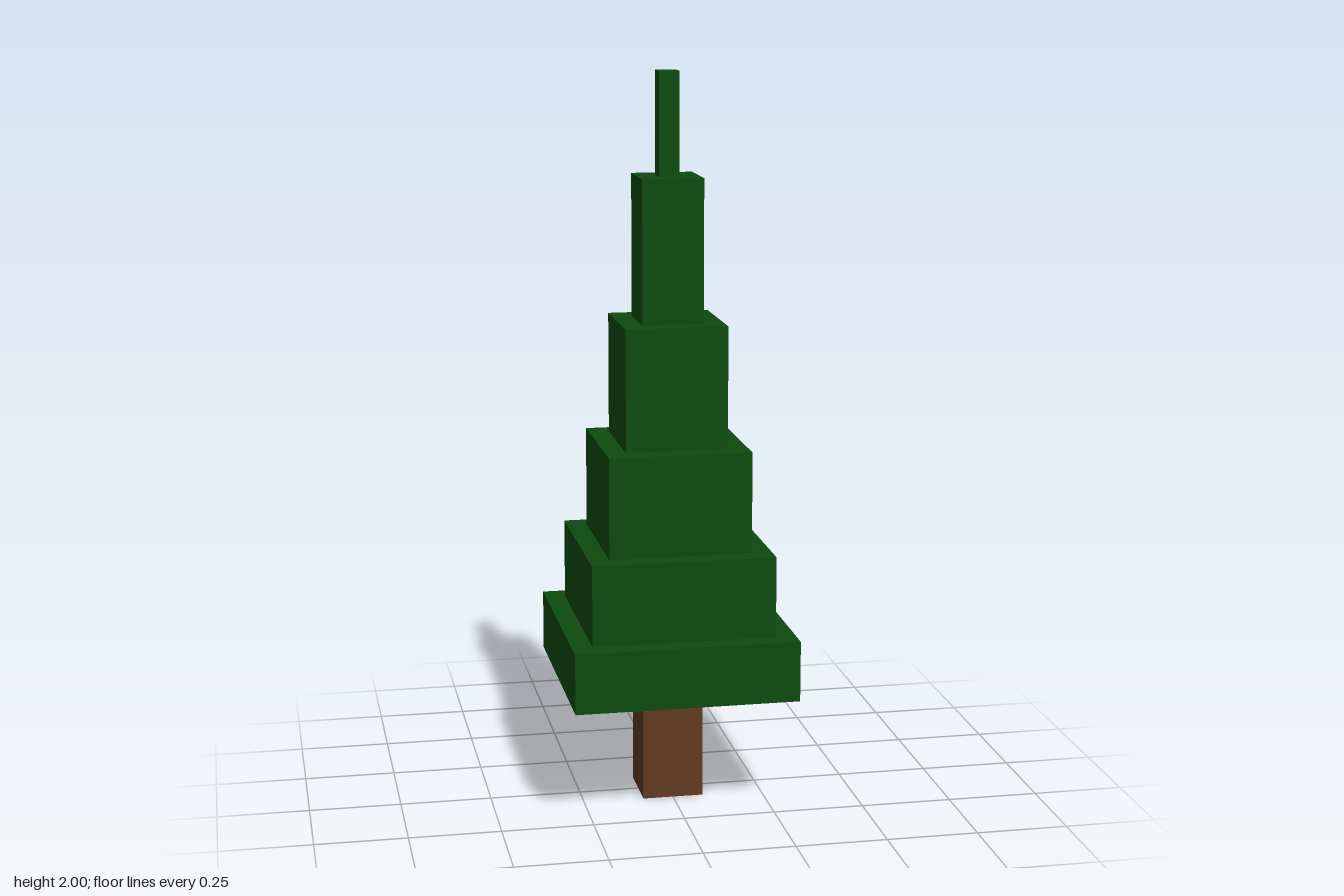
import * as THREE from 'three';

const UNIT = 1 / 18;

export function createModel() {
  const tree = new THREE.Group();
  tree.name = 'tree';

  const needles = new THREE.MeshStandardMaterial({ color: 0x0d4b0f });
  needles.name = 'needle green';
  const bark = new THREE.MeshStandardMaterial({ color: 0x613b23 });
  bark.name = 'bark brown';

  // Square block of given width between two heights, in grid units
  function block(name, width, bottom, top, material) {
    const geometry = new THREE.BoxGeometry(width * UNIT, (top - bottom) * UNIT, width * UNIT);
    const mesh = new THREE.Mesh(geometry, material);
    mesh.name = name;
    mesh.position.y = ((bottom + top) / 2) * UNIT;
    tree.add(mesh);
  }

  block('trunk', 3, 0, 6, bark);

  // Foliage tiers narrow by two units each, from the skirt to the tip
  const levels = [6, 9, 13, 18, 24, 31, 36];
  for (let i = 0; i < levels.length - 1; i++) {
    block(`foliageTier${i + 1}`, 11 - 2 * i, levels[i], levels[i + 1], needles);
  }

  return tree;
}
